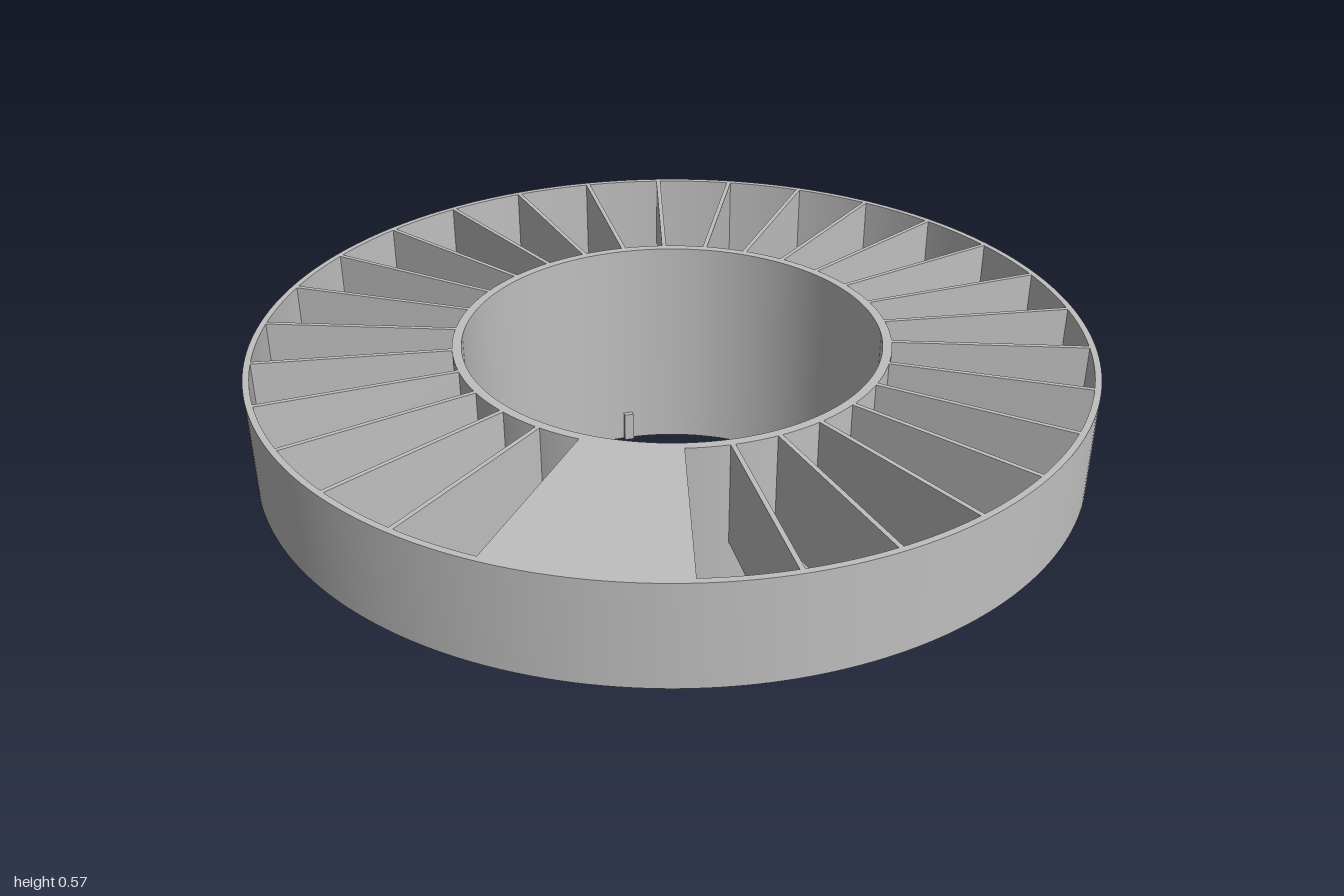
import * as THREE from 'three';
import { toCreasedNormals } from 'three/addons/utils/BufferGeometryUtils.js';

const TOP = 0.575, RIM_BOTTOM = 0.325, GEAR_TOP = 0.065;
const R_IN = 0.5, R_TUBE = 0.522, R_RIM_IN = 0.985, R_RIM = 1;
const CELLS = 30, TEETH = 96;

// Stands a flat plan outline up between two heights
function extrudeUp(shape, y0, y1) {
  const geo = new THREE.ExtrudeGeometry(shape, { depth: y1 - y0, bevelEnabled: false, curveSegments: 120 });
  geo.rotateX(-Math.PI / 2);
  geo.translate(0, y0, 0);
  return toCreasedNormals(geo, 0.4);
}

function circlePath(r, x = 0, y = 0) {
  return new THREE.Path().absarc(x, y, r, 0, Math.PI * 2, true);
}

function ring(rOut, rIn, y0, y1) {
  const shape = new THREE.Shape().absarc(0, 0, rOut, 0, Math.PI * 2, false);
  shape.holes.push(circlePath(rIn));
  return extrudeUp(shape, y0, y1);
}

// Toothed flange with a small locating hole
function gear() {
  const pts = [];
  const step = (Math.PI * 2) / TEETH;
  for (let i = 0; i < TEETH; i++) {
    for (const [t, r] of [[0, 0.588], [0.4, 0.588], [0.52, 0.614], [0.88, 0.614]]) {
      const a = (i + t) * step;
      pts.push(new THREE.Vector2(r * Math.cos(a), r * Math.sin(a)));
    }
  }
  const shape = new THREE.Shape(pts);
  shape.holes.push(circlePath(R_IN), circlePath(0.021, -0.48, 0.28));
  return extrudeUp(shape, 0, GEAR_TOP);
}

// Sector cover that closes two cells
function cover() {
  const a0 = THREE.MathUtils.degToRad(-96.3), a1 = THREE.MathUtils.degToRad(-71.7);
  const shape = new THREE.Shape();
  shape.absarc(0, 0, R_RIM_IN + 0.003, a0, a1, false);
  shape.absarc(0, 0, R_TUBE - 0.003, a1, a0, true);
  shape.closePath();
  return extrudeUp(shape, TOP - 0.015, TOP);
}

export function createModel() {
  const model = new THREE.Group();
  const grey = new THREE.MeshStandardMaterial({ color: 0xbfbfbf });
  grey.name = 'plain grey';

  const add = (name, geo, parent = model) => {
    const mesh = new THREE.Mesh(geo, grey);
    mesh.name = name;
    parent.add(mesh);
    return mesh;
  };

  add('outerRim', ring(R_RIM, R_RIM_IN, RIM_BOTTOM, TOP));
  add('innerTube', ring(R_TUBE, R_IN, 0, TOP));
  add('gearFlange', gear());
  add('cellCover', cover());

  // Radial walls between the cells
  const dividers = new THREE.Group();
  dividers.name = 'dividers';
  model.add(dividers);
  const length = R_RIM_IN - R_TUBE + 0.01;
  const wall = new THREE.BoxGeometry(length, TOP - RIM_BOTTOM, 0.011);
  wall.translate((R_RIM_IN + R_TUBE) / 2, (TOP + RIM_BOTTOM) / 2, 0);
  for (let i = 0; i < CELLS; i++) {
    add('divider', wall, dividers).rotation.y = (i * Math.PI * 2) / CELLS;
  }

  // Three small locking tabs through the foot of the tube
  const tab = new THREE.BoxGeometry(0.048, 0.08, 0.025);
  tab.translate(0.511, 0.041, 0);
  for (let i = 0; i < 3; i++) {
    add('lockingTab', tab).rotation.y = (i * Math.PI * 2) / 3;
  }

  return model;
}
